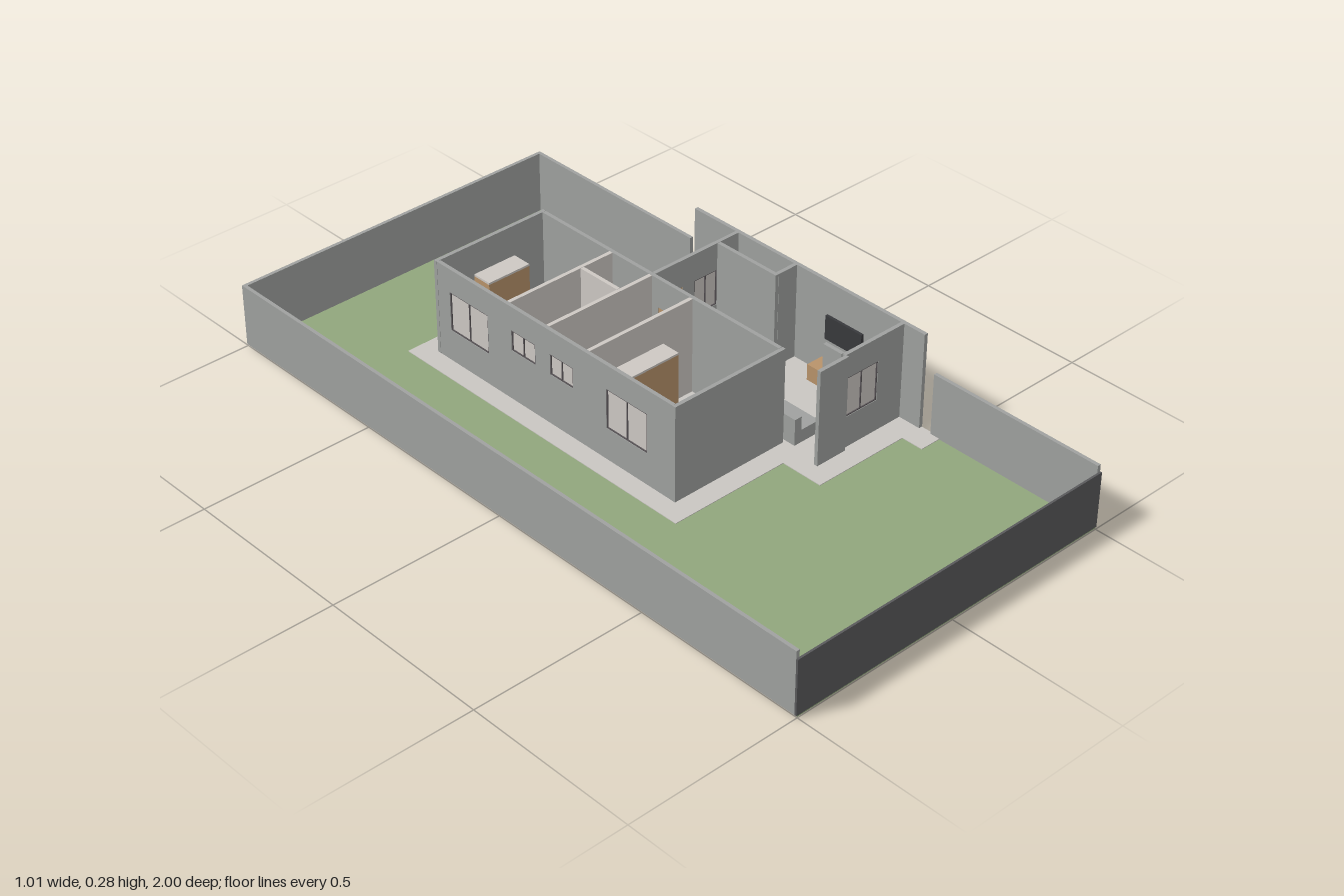
import * as THREE from 'three';

const mat = (name, color) => {
  const m = new THREE.MeshStandardMaterial({ color });
  m.name = name;
  return m;
};

export function createModel() {
  const wallGrey = mat('wall grey', 0x9fa19f);
  const darkWall = mat('front wall charcoal', 0x59595b);
  const grass = mat('grass green', 0x91a67c);
  const concrete = mat('pale concrete', 0xc9c6c2);
  const plaster = mat('light plaster', 0xcdc8c3);
  const wood = mat('wood', 0xb8936a);
  const black = mat('screen black', 0x38393c);
  const frameDark = mat('frame dark', 0x5a5558);

  const model = new THREE.Group();
  model.name = 'houseOnPlot';
  const H = 0.285, FLOOR = 0.008, T = 0.011;

  // Box given by its lower and upper limits on each axis
  const box = (name, m, x0, x1, y0, y1, z0, z1, parent = model) => {
    const mesh = new THREE.Mesh(new THREE.BoxGeometry(x1 - x0, y1 - y0, z1 - z0), m);
    mesh.position.set((x0 + x1) / 2, (y0 + y1) / 2, (z0 + z1) / 2);
    mesh.name = name;
    parent.add(mesh);
    return mesh;
  };

  // Upright wall along x or z, with rectangular openings [a0, a1, y0, y1, kind]
  const wall = (name, m, axis, a0, a1, at, openings = []) => {
    const g = new THREE.Group();
    g.name = name;
    const s = new THREE.Shape();
    s.moveTo(a0, FLOOR).lineTo(a1, FLOOR).lineTo(a1, H).lineTo(a0, H).closePath();
    for (const [p, q, y0, y1] of openings) {
      const h = new THREE.Path();
      h.moveTo(p, y0).lineTo(p, y1).lineTo(q, y1).lineTo(q, y0).closePath();
      s.holes.push(h);
    }
    const geo = new THREE.ExtrudeGeometry(s, { depth: T, bevelEnabled: false });
    geo.translate(0, 0, -T / 2);
    const body = new THREE.Mesh(geo, m);
    body.name = name + 'Body';
    g.add(body);
    for (const [p, q, y0, y1, kind] of openings) {
      if (kind === 'door') {
        box('door', wood, p, q, y0, y1, -0.004, 0.004, g);
        continue;
      }
      const f = 0.003, d = 0.004, c = (p + q) / 2;
      box('windowPane', plaster, p, q, y0, y1, -0.001, 0.001, g);
      for (const u of [p, c - f / 2, q - f]) box('windowFrame', frameDark, u, u + f, y0, y1, -d, d, g);
      for (const v of [y0, y1 - f]) box('windowFrame', frameDark, p, q, v, v + f, -d, d, g);
    }
    // Walls along z are drawn along x, then turned so local x becomes world z
    if (axis === 'x') g.position.z = at;
    else {
      g.rotation.y = -Math.PI / 2;
      g.position.x = at;
    }
    model.add(g);
  };

  // Lawn and paving
  box('lawn', grass, -0.5, 0.5, 0.003, 0.006, -1, 1);
  const paving = [
    [-0.22, 0.26, -0.69, -0.635, 0], [-0.22, -0.16, -0.635, -0.05, 0],
    [-0.22, -0.16, -0.05, 0.315, 0.004], [-0.16, 0.14, 0.25, 0.315, 0],
    [0.14, 0.2, 0.25, 0.44, 0], [0.2, 0.49, 0.375, 0.44, 0],
    [0.43, 0.5, 0.44, 0.505, 0], [0.2, 0.26, -0.635, -0.265, 0],
    [0.2, 0.43, -0.265, -0.21, 0], [0.43, 0.5, -0.425, -0.21, 0],
  ];
  for (const [x0, x1, z0, z1, y0] of paving) box('paving', concrete, x0, x1, y0, FLOOR, z0, z1);
  box('houseFloor', concrete, -0.16, 0.2, 0.004, FLOOR, -0.635, 0.25);
  box('wingFloor', concrete, 0.2, 0.495, 0.004, FLOOR, -0.21, 0.375);

  // Plot boundary
  box('frontBoundary', darkWall, -0.503, 0.503, 0.006, 0.165, 0.994, 1);
  box('backBoundary', wallGrey, -0.5, 0.5, 0.006, 0.185, -1, -0.99);
  box('rightBoundary', wallGrey, -0.503, -0.493, 0.006, 0.185, -1, 0.994);
  box('leftBoundaryBack', wallGrey, 0.493, 0.503, 0.006, 0.185, -1, -0.39);
  box('leftBoundaryFront', wallGrey, 0.493, 0.503, 0.006, 0.185, 0.475, 0.994);
  box('tallSideWall', wallGrey, 0.49, 0.501, 0.006, H, -0.37, 0.44);

  // Main house shell
  wall('houseBackWall', wallGrey, 'x', -0.165, 0.2, -0.63);
  wall('houseFrontWall', wallGrey, 'x', -0.165, 0.2, 0.248);
  wall('houseRightWall', wallGrey, 'z', -0.624, 0.242, -0.159, [
    [-0.578, -0.43, 0.1, 0.215], [-0.34, -0.25, 0.155, 0.215],
    [-0.195, -0.11, 0.155, 0.215], [0.01, 0.155, 0.1, 0.215],
  ]);
  wall('houseLeftWall', wallGrey, 'z', -0.624, 0.242, 0.194, [[-0.185, -0.11, 0.012, 0.2, 'door']]);

  // Inner partitions
  for (const z of [-0.36, -0.213, -0.065]) wall('partition', plaster, 'x', -0.153, 0.188, z);
  wall('bathPartition', plaster, 'z', -0.354, -0.219, 0.085);

  // Side wing
  wall('wingBackWall', wallGrey, 'x', 0.2, 0.49, -0.213, [
    [0.215, 0.295, 0.012, 0.205, 'door'], [0.335, 0.415, 0.1, 0.205],
  ]);
  wall('wingFrontWall', wallGrey, 'x', 0.285, 0.49, 0.367, [[0.29, 0.402, 0.1, 0.215]]);
  box('entryDoor', wood, 0.408, 0.488, FLOOR, 0.205, 0.355, 0.361);
  wall('porchScreen', wallGrey, 'x', 0.19, 0.287, 0.376);
  wall('porchStub', wallGrey, 'z', 0.3, 0.361, 0.287);
  wall('storeSideWall', wallGrey, 'z', -0.207, 0.003, 0.42);
  wall('storeFrontWall', wallGrey, 'x', 0.426, 0.49, -0.002);

  // Wardrobes with pale tops
  for (const [x0, x1, z0, z1] of [[-0.05, 0.085, -0.618, -0.56], [-0.075, 0.085, -0.056, 0]]) {
    box('wardrobe', wood, x0, x1, FLOOR, 0.195, z0, z1);
    box('wardrobeTop', plaster, x0, x1, 0.195, 0.201, z0, z1);
  }

  // Loose furniture
  box('bedBase', wood, -0.05, 0.09, FLOOR, 0.025, 0.05, 0.235);
  box('mattress', plaster, -0.05, 0.09, 0.025, 0.05, 0.05, 0.235);
  for (const z of [-0.265, -0.2]) box('washStand', darkWall, -0.087, -0.025, FLOOR, 0.09, z, z + 0.042);
  box('fridge', plaster, 0.21, 0.285, FLOOR, 0.17, -0.082, -0.015);
  box('sofaSeat', wallGrey, 0.21, 0.295, FLOOR, 0.045, 0.075, 0.283);
  box('sofaBack', wallGrey, 0.21, 0.233, 0.045, 0.085, 0.075, 0.283);
  box('sideboard', wood, 0.438, 0.49, FLOOR, 0.055, 0.1, 0.253);
  box('wallScreen', black, 0.482, 0.49, 0.12, 0.19, 0.115, 0.24);

  return model;
}
